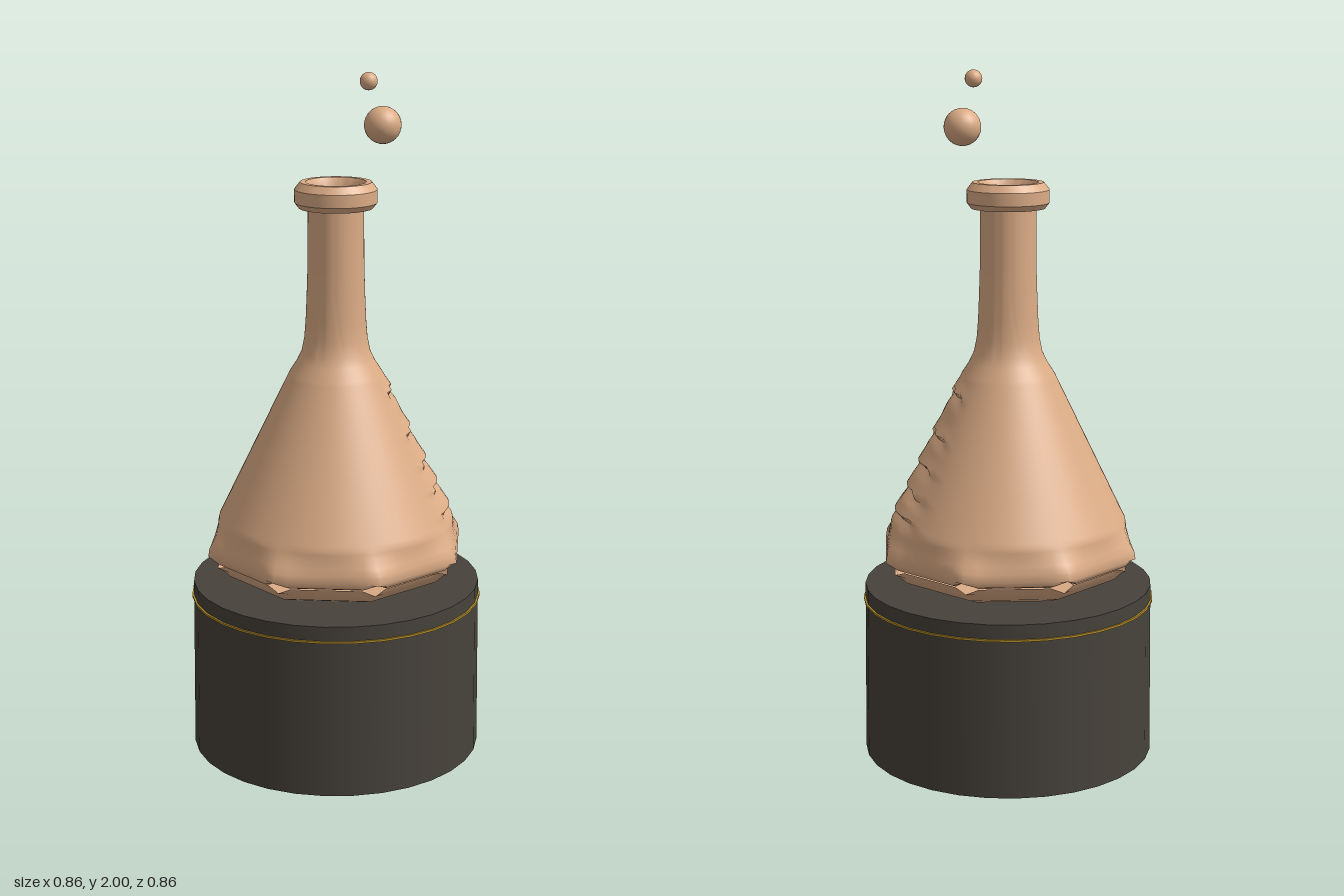
import * as THREE from 'three';
import { mergeVertices, toCreasedNormals } from 'three/addons/utils/BufferGeometryUtils.js';

const SEGMENTS = 64;

// Lathe a profile of [radius, y] pairs, then move each vertex by a rule.
function turned(profile, rule, crease = 0.8) {
  const points = profile.map(([r, y]) => new THREE.Vector2(r, y));
  const geo = new THREE.LatheGeometry(points, SEGMENTS);
  const pos = geo.attributes.position;
  for (let i = 0; i < pos.count; i++) {
    const x = pos.getX(i), y = pos.getY(i), z = pos.getZ(i);
    const angle = Math.atan2(x, z);
    const [r, newY] = rule(Math.hypot(x, z), y, angle);
    pos.setXYZ(i, r * Math.sin(angle), newY, r * Math.cos(angle));
  }
  geo.deleteAttribute('uv');
  geo.deleteAttribute('normal');
  return toCreasedNormals(mergeVertices(geo, 1e-5), crease);
}

// Angle away from the nearest of the eight corners, in radians.
function fromCorner(angle) {
  const step = Math.PI / 4;
  return Math.abs(angle - Math.round(angle / step) * step);
}

// Scale that turns a circle into an octagon by the given amount.
function octagon(angle, amount) {
  const flat = Math.cos(Math.PI / 8) / Math.cos(Math.PI / 8 - fromCorner(angle));
  return 1 + (flat - 1) * amount;
}

const atCorner = (angle) => fromCorner(angle) < 0.02;

// Shallow overhanging ledges on the back left of the cone.
const LEDGES = [0.72, 0.785, 0.86, 0.95, 1.07];
function ledgeOffset(y, angle) {
  const turn = angle - Math.PI / 2;
  if (turn < 0 || turn > 1.05) return 0;
  const window = Math.sin((turn / 1.05) * Math.PI);
  for (const level of LEDGES) {
    const d = y - level - 0.02 * Math.sin(turn * 3);
    if (d >= 0 && d < 0.04) return 0.008 * window * (1 - d / 0.04);
    if (d < 0 && d > -0.035) return -0.014 * window * (1 + d / 0.035);
  }
  return 0;
}

export function createModel() {
  const model = new THREE.Group();
  const clay = new THREE.MeshStandardMaterial({ color: 0xdcac86, side: THREE.DoubleSide });
  clay.name = 'warm tan';
  const dark = new THREE.MeshStandardMaterial({ color: 0x47423b });
  dark.name = 'dark brown grey';
  const gold = new THREE.MeshStandardMaterial({ color: 0xb8902a });
  gold.name = 'gold';

  function add(name, geometry, material, x = 0, y = 0, z = 0) {
    const mesh = new THREE.Mesh(geometry, material);
    mesh.name = name;
    mesh.position.set(x, y, z);
    model.add(mesh);
  }

  // Pedestal with a thin inlaid band
  add('pedestal', new THREE.CylinderGeometry(0.422, 0.427, 0.51, 32), dark, 0, 0.255);
  add('pedestalBand', new THREE.CylinderGeometry(0.428, 0.428, 0.006, 32), gold, 0, 0.465);

  // Conical body, closely spaced rows where the ledges are
  const cone = [];
  for (let y = 0.68; y < 1.145; y += 0.012) {
    cone.push([0.355 - (y - 0.68) * 0.483, y]);
  }
  const body = [
    [0.36, 0.588], [0.383, 0.597], [0.39, 0.612], [0.386, 0.635], [0.373, 0.655],
    ...cone,
    [0.113, 1.17], [0.099, 1.2], [0.091, 1.24], [0.087, 1.29], [0.084, 1.36], [0.081, 1.45], [0.08, 1.615],
  ];
  add('flaskBody', turned(body, (r, y, angle) => {
    const amount = THREE.MathUtils.clamp((0.7 - y) / 0.06, 0, 1);
    const notch = y < 0.6 && atCorner(angle) ? (0.612 - y) * 0.95 : 0;
    return [r * octagon(angle, amount) + ledgeOffset(y, angle), y + notch];
  }), clay);

  // Lip and inside of the neck
  const lip = [
    [0.08, 1.612], [0.106, 1.614], [0.118, 1.63], [0.118, 1.667], [0.102, 1.688],
    [0.086, 1.688], [0.076, 1.67], [0.07, 1.64], [0.07, 1.25], [0.08, 1.19],
  ];
  add('flaskLip', turned(lip, (r, y) => [r, y], 0.6), clay);

  // Shallow dish closing the bottom, dipping at each corner
  const dish = [
    [0, 0.514], [0.2, 0.514], [0.27, 0.522], [0.325, 0.543], [0.35, 0.567], [0.362, 0.586],
  ];
  add('flaskBottom', turned(dish, (r, y, angle) => {
    const dip = y > 0.58 && atCorner(angle) ? 0.014 : 0;
    return [r * octagon(angle, r > 0.21 ? 1 : 0), y - dip];
  }), clay);

  // Floating bubbles
  add('largeBubble', new THREE.SphereGeometry(0.053, 24, 16), clay, 0.11, 1.845, -0.074);
  add('smallBubble', new THREE.SphereGeometry(0.025, 20, 12), clay, 0.11, 1.975, 0.017);

  return model;
}
